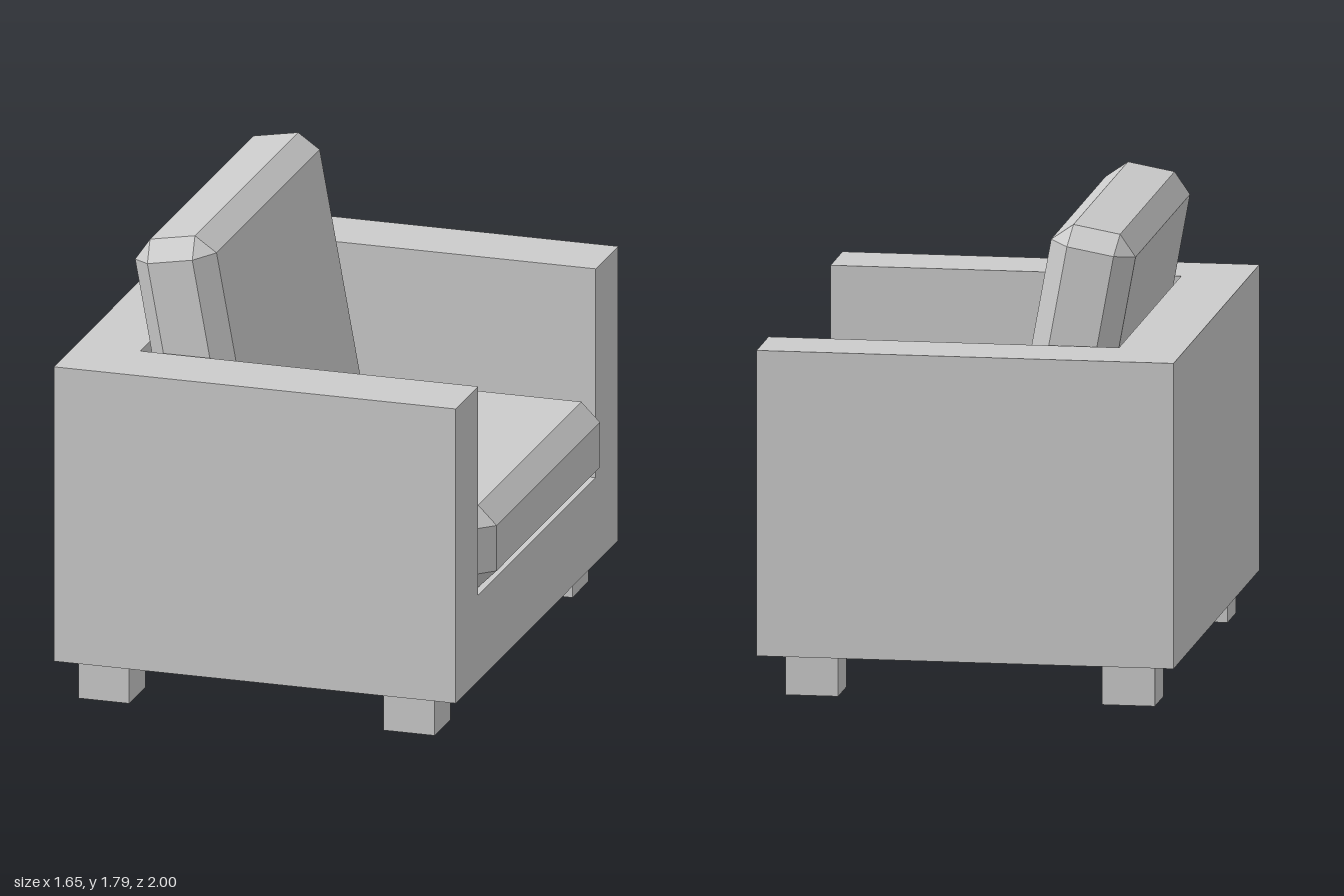
import * as THREE from 'three';
import { ConvexGeometry } from 'three/addons/geometries/ConvexGeometry.js';

const material = new THREE.MeshStandardMaterial({ color: 0xcccccc, flatShading: true });

function addMesh(parent, name, geometry, x = 0, y = 0, z = 0) {
  const mesh = new THREE.Mesh(geometry, material);
  mesh.name = name;
  mesh.position.set(x, y, z);
  parent.add(mesh);
  return mesh;
}

// Box with every edge chamfered and every corner cut to a triangle
function chamferedBox(w, h, d, bevel) {
  const half = [w / 2, h / 2, d / 2];
  const points = [];
  for (const sx of [-1, 1]) for (const sy of [-1, 1]) for (const sz of [-1, 1]) {
    const signs = [sx, sy, sz];
    for (let axis = 0; axis < 3; axis++) {
      const p = signs.map((s, i) => s * (half[i] - (i === axis ? 0 : bevel)));
      points.push(new THREE.Vector3(...p));
    }
  }
  return new ConvexGeometry(points);
}

export function createModel() {
  const chair = new THREE.Group();
  chair.name = 'armchair';

  // Frame: solid base below a U of two arms and a back, open towards +x
  const back = -0.825, front = 0.777, bottom = 0.157, floor = 0.5, top = 1.337;
  const innerBack = -0.57, innerZ = 0.723;
  addMesh(chair, 'base', new THREE.BoxGeometry(front - back, floor - bottom, 2),
    (front + back) / 2, (floor + bottom) / 2, 0);

  const plan = new THREE.Shape([
    [back, -1], [front, -1], [front, -innerZ], [innerBack, -innerZ],
    [innerBack, innerZ], [front, innerZ], [front, 1], [back, 1],
  ].map(([x, z]) => new THREE.Vector2(x, z)));
  const walls = new THREE.ExtrudeGeometry(plan, { depth: top - floor, bevelEnabled: false });
  walls.rotateX(-Math.PI / 2);
  addMesh(chair, 'armsAndBack', walls, 0, floor, 0);

  // Seat cushion, jutting out a little past the frame
  const seatLength = 1.38, thick = 0.33, width = 1.418, bevel = 0.074;
  addMesh(chair, 'seatCushion', chamferedBox(seatLength, thick, width, bevel),
    0.822 - seatLength / 2, floor + thick / 2, 0);

  // Back cushion, leaning back, its foot sunk into the seat
  const tilt = 0.18, height = 1.12;
  const backCushion = addMesh(chair, 'backCushion', chamferedBox(thick, height, width, bevel),
    -0.47 + Math.sin(tilt) * height / 2, 1.774 - Math.cos(tilt) * height / 2, 0);
  backCushion.rotation.z = tilt;

  // Four square feet
  for (const x of [-0.643, 0.574]) for (const z of [-0.848, 0.848]) {
    addMesh(chair, 'foot', new THREE.BoxGeometry(0.203, bottom, 0.198), x, bottom / 2, z);
  }
  return chair;
}
